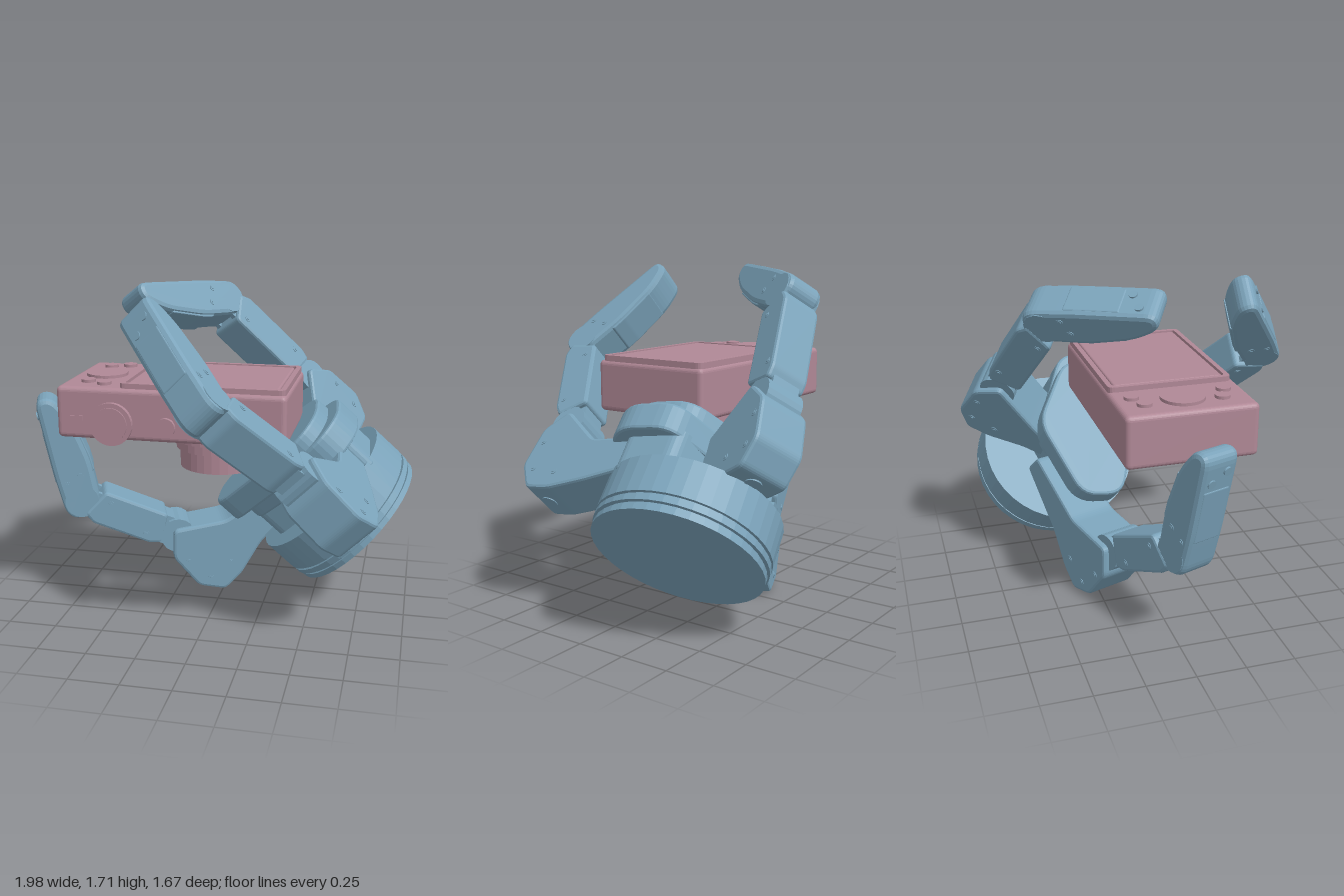
import * as THREE from 'three';
import { RoundedBoxGeometry } from 'three/addons/geometries/RoundedBoxGeometry.js';

const blue = new THREE.MeshStandardMaterial({ color: 0x7ba3ba, flatShading: true });
const pink = new THREE.MeshStandardMaterial({ color: 0xb08896, flatShading: true });

function add(parent, name, geometry, material, x = 0, y = 0, z = 0) {
  const mesh = new THREE.Mesh(geometry, material);
  mesh.name = name;
  mesh.position.set(x, y, z);
  parent.add(mesh);
  return mesh;
}

function group(parent, name, x = 0, y = 0, z = 0) {
  const g = new THREE.Group();
  g.name = name;
  g.position.set(x, y, z);
  parent.add(g);
  return g;
}

// Closed polygon with every corner rounded by up to r
function roundedShape(points, r) {
  const v = points.map(p => new THREE.Vector2(...p));
  const shape = new THREE.Shape();
  v.forEach((p, i) => {
    const a = v[(i + v.length - 1) % v.length], b = v[(i + 1) % v.length];
    const cut = q => p.clone().lerp(q, Math.min(r / p.distanceTo(q), 0.48));
    const s = cut(a), e = cut(b);
    if (i === 0) shape.moveTo(s.x, s.y); else shape.lineTo(s.x, s.y);
    shape.quadraticCurveTo(p.x, p.y, e.x, e.y);
  });
  shape.closePath();
  return shape;
}

// Slab with a bevelled rim, centred on its thickness
function slab(points, width, r = 0.03, bevel = 0.015) {
  return new THREE.ExtrudeGeometry(roundedShape(points, r), {
    depth: width - 2 * bevel, bevelEnabled: true, bevelSize: bevel, bevelOffset: -bevel,
    bevelThickness: bevel, bevelSegments: 2, curveSegments: 5,
  }).translate(0, 0, -width / 2 + bevel);
}

// Pivot pin or screw lying across a finger
function pin(parent, name, r, width, x, y) {
  add(parent, name, new THREE.CylinderGeometry(r, r, width, 20), blue, x, y, 0).rotation.x = Math.PI / 2;
}

function screws(parent, spots, width) {
  for (const [x, y] of spots) {
    pin(parent, 'screw', 0.018, width + 0.006, x, y);
    pin(parent, 'screwHead', 0.009, width + 0.012, x, y);
  }
}

// Finger in its own plane: x points outwards, y along the gripper axis, z across the finger
function finger(parent, name, angle, offset, tilt, A, B, T) {
  const turn = group(parent, name);
  turn.rotation.y = THREE.MathUtils.degToRad(angle);
  const f = group(turn, name + 'Links', 0, 0, offset);
  f.rotation.x = tilt;
  const [r, a] = A;

  // Angled knuckle reaching from the palm to the first joint
  add(f, 'knuckle', slab([
    [0.08, 0.32], [r - 0.28, a - 0.37], [r - 0.08, a - 0.415], [r + 0.05, a - 0.41], [r + 0.13, a - 0.28],
    [r + 0.1, a - 0.06], [r - 0.02, a + 0.05], [r - 0.25, a - 0.13], [0.08, 0.46],
  ], 0.26, 0.03), blue);
  screws(f, [[r + 0.05, a - 0.3], [r - 0.09, a - 0.32], [r + 0.06, a - 0.14]], 0.26);
  add(f, 'cableBoss', new THREE.CylinderGeometry(0.04, 0.04, 0.02, 20), blue, r - 0.02, a - 0.408, 0);

  const link = (n, p, q) => {
    const g = group(f, n, p[0], p[1], 0);
    g.rotation.z = Math.atan2(q[1] - p[1], q[0] - p[0]) - Math.PI / 2;
    return [g, Math.hypot(q[0] - p[0], q[1] - p[1])];
  };

  // Middle link: pivots at both ends, block between them
  const [mid, L] = link('middleLink', A, B);
  pin(mid, 'lowerPivot', 0.095, 0.2, -0.01, 0);
  add(mid, 'lowerTongue', new THREE.BoxGeometry(0.16, 0.18, 0.15), blue, -0.01, 0.06, 0);
  add(mid, 'middleBlock', slab([
    [-0.105, 0.1], [0.06, 0.07], [0.085, 0.13], [0.085, L - 0.13], [0.05, L - 0.07], [-0.105, L - 0.13],
  ], 0.21, 0.02), blue);
  for (const z of [-0.065, 0.065])
    add(mid, 'upperFork', new THREE.BoxGeometry(0.1, 0.16, 0.03), blue, -0.03, L - 0.08, z);
  screws(mid, [[0.04, 0.17], [-0.05, L - 0.18]], 0.21);

  // Fingertip: round at the pivot, straight back, bulging pad inside
  const [tip, M] = link('fingertip', B, T);
  pin(tip, 'tipPivot', 0.09, 0.2, -0.03, -0.01);
  const e = M + 0.02;
  add(tip, 'tipBody', slab([
    [-0.125, -0.06], [0.0, -0.115], [0.07, -0.07], [0.075, 0.15], [0.06, e],
    [-0.03, e], [-0.1, e - 0.14], [-0.135, 0.2],
  ], 0.2, 0.06, 0.025), blue);
  add(tip, 'backCover', new RoundedBoxGeometry(0.02, M - 0.28, 0.15, 2, 0.008), blue, 0.064, M / 2 - 0.02, 0).rotation.z = 0.03;
  add(tip, 'gripPad', slab([
    [-0.14, 0.14], [-0.1, 0.12], [-0.09, e - 0.19], [-0.11, e - 0.17], [-0.138, 0.22],
  ], 0.17, 0.01, 0.005), blue);
  for (const [y, z] of [[M - 0.07, -0.04], [M - 0.12, 0.04]])
    add(tip, 'backScrew', new THREE.CylinderGeometry(0.022, 0.022, 0.02, 16), blue, 0.062, y, z).rotation.z = Math.PI / 2;
  screws(tip, [[0.02, 0.1], [-0.06, 0.13]], 0.2);
}

function buildGripper(root) {
  const g = group(root, 'gripper', 0.71, 0.40, -0.345);
  const axis = new THREE.Vector3(-0.72, 0.68, 0.14).normalize();
  const side = new THREE.Vector3(0.69, 0.72, 0.05);
  side.addScaledVector(axis, -side.dot(axis)).normalize();
  g.quaternion.setFromRotationMatrix(
    new THREE.Matrix4().makeBasis(side, axis, side.clone().cross(axis)));

  // Stepped mounting base: bottom, top, radius
  for (const [y0, y1, r] of [
    [0, 0.03, 0.422], [0.03, 0.045, 0.41], [0.045, 0.075, 0.43],
    [0.075, 0.09, 0.415], [0.09, 0.28, 0.432],
  ]) add(g, 'baseRing', new THREE.CylinderGeometry(r, r, y1 - y0, 40), blue, 0, (y0 + y1) / 2, 0);

  // Neck and the two layers of the palm
  const flat = (name, points, h, r, y) => {
    add(g, name, slab(points, h, r), blue, 0, y, 0).rotation.x = -Math.PI / 2;
  };
  flat('neck', [[-0.3, -0.2], [-0.3, 0.04], [0.0, 0.17], [0.38, 0.06], [0.38, -0.24], [0.1, -0.28]], 0.24, 0.05, 0.36);
  flat('palmBase', [
    [-0.32, -0.2], [-0.32, 0.03], [0.0, 0.2], [0.44, 0.03], [0.45, -0.24], [0.32, -0.38], [0.1, -0.36],
  ], 0.15, 0.09, 0.5);
  flat('palmPlate', [
    [-0.42, -0.2], [-0.42, 0.03], [0.0, 0.22], [0.36, 0.04], [0.37, -0.22], [0.27, -0.36], [0.1, -0.36],
  ], 0.15, 0.09, 0.575);

  finger(g, 'thumb', 196, 0.165, -0.128, [0.738, 0.686], [0.935, 1.245], [0.625, 1.715]);
  finger(g, 'frontFinger', -90, -0.205, -0.02, [0.72, 0.585], [0.9, 1.2], [0.555, 1.655]);
  finger(g, 'backFinger', 63, -0.03, 0.09, [0.475, 0.694], [0.425, 1.375], [-0.025, 1.71]);
}

function buildCamera(root) {
  const c = group(root, 'camera');
  add(c, 'cameraBody', new RoundedBoxGeometry(1.15, 0.26, 0.64, 3, 0.025), pink, -0.165, 1.11, 0.05);

  // Screen with a raised frame
  const frame = roundedShape([[-0.41, -0.305], [0.41, -0.305], [0.41, 0.305], [-0.41, 0.305]], 0.03);
  frame.holes.push(roundedShape([[-0.385, -0.28], [-0.385, 0.28], [0.385, 0.28], [0.385, -0.28]], 0.02));
  add(c, 'screenFrame', new THREE.ExtrudeGeometry(frame, { depth: 0.04, bevelEnabled: false, curveSegments: 4 }),
    pink, -0.01, 1.225, 0.045).rotation.x = -Math.PI / 2;
  add(c, 'screen', new RoundedBoxGeometry(0.75, 0.04, 0.545, 2, 0.01), pink, -0.01, 1.242, 0.045);

  // Control pad and buttons beside the screen
  const disc = (name, r, h, x, y, z) =>
    add(c, name, new THREE.CylinderGeometry(r, r, h, 32), pink, x, y, z);
  disc('controlPad', 0.107, 0.03, -0.575, 1.24, 0.05);
  for (const [x, z] of [[-0.615, -0.145], [-0.52, -0.18], [-0.615, 0.23], [-0.52, 0.27]])
    disc('button', 0.036, 0.03, x, 1.24, z);

  // Lens barrel pointing down
  for (const [r, y0, y1] of [[0.25, 0.95, 0.99], [0.225, 0.9, 0.96], [0.205, 0.8, 0.91]])
    disc('lensRing', r, y1 - y0, 0.025, (y0 + y1) / 2, 0.06);
  add(c, 'flash', new THREE.BoxGeometry(0.05, 0.02, 0.08), pink, -0.33, 0.975, 0.12);

  // Dial, shutter and slots on the edge
  for (const [n, r, x, y, z] of [
    ['modeDial', 0.108, -0.455, 1.065, 0.38], ['dialCap', 0.085, -0.455, 1.065, 0.387],
    ['shutterButton', 0.048, -0.18, 1.06, 0.375],
  ]) disc(n, r, 0.03, x, y, z).rotation.x = Math.PI / 2;
  add(c, 'slot', new THREE.BoxGeometry(0.07, 0.025, 0.02), pink, -0.64, 1.085, 0.365);
  add(c, 'switch', new THREE.BoxGeometry(0.015, 0.04, 0.02), pink, -0.045, 1.085, 0.365);
}

export function createModel() {
  const root = new THREE.Group();
  root.name = 'gripperHoldingCamera';
  buildGripper(root);
  buildCamera(root);
  return root;
}
